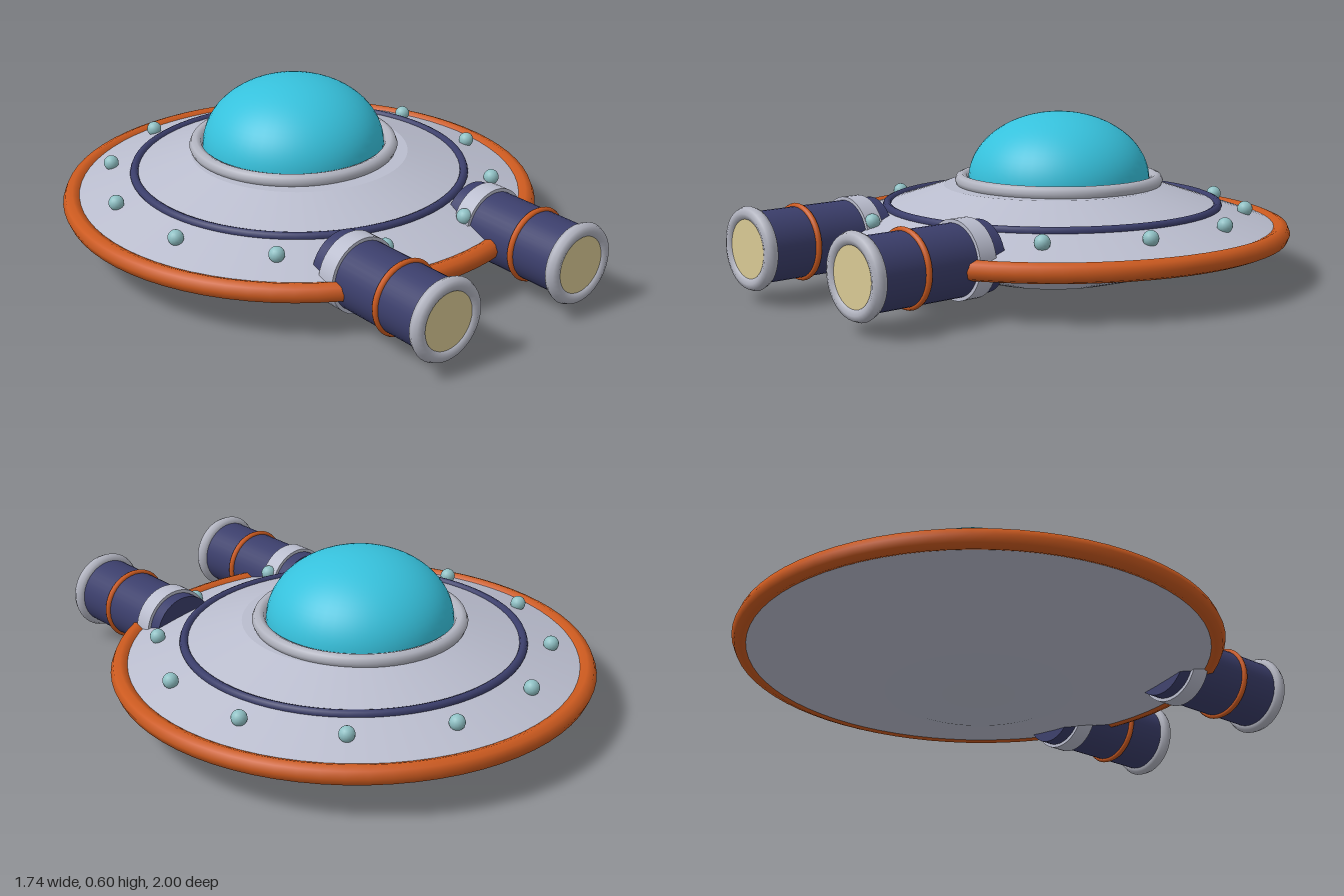
import * as THREE from 'three';

export function createModel() {
  const model = new THREE.Group();
  const mat = (name, color) => {
    const m = new THREE.MeshStandardMaterial({ color });
    m.name = name;
    return m;
  };
  const hullGrey = mat('hull grey', 0xbabdce);
  const trimGrey = mat('trim grey', 0xb2b4c0);
  const orange = mat('orange', 0xcc5a1f);
  const navy = mat('navy', 0x3b3e6b);
  const cyan = mat('dome cyan', 0x36c1dc);
  const paleTeal = mat('stud teal', 0x8fc0c4);
  const cream = mat('lens cream', 0xd9c994);

  const add = (parent, name, geometry, material, x = 0, y = 0, z = 0) => {
    const mesh = new THREE.Mesh(geometry, material);
    mesh.name = name;
    mesh.position.set(x, y, z);
    parent.add(mesh);
    return mesh;
  };
  const flatRing = (R, r, sides = 10) => new THREE.TorusGeometry(R, r, sides, 72).rotateX(Math.PI / 2);
  const lathe = (points) => new THREE.LatheGeometry(points.map(p => new THREE.Vector2(...p)), 72);

  // Saucer, set back so the barrels reach forward
  const saucer = new THREE.Group();
  saucer.name = 'saucer';
  saucer.position.z = -0.127;
  model.add(saucer);
  add(saucer, 'lowerHull', lathe([[0, 0], [0.295, 0], [0.84, 0.15]]), hullGrey);
  add(saucer, 'upperHull', lathe([[0.84, 0.187], [0.4, 0.335]]), hullGrey);
  add(saucer, 'hullDeck', lathe([[0.4, 0.335], [0, 0.335]]), hullGrey);
  add(saucer, 'rim', flatRing(0.837, 0.035, 8), orange, 0, 0.173, 0);
  add(saucer, 'deckBand', flatRing(0.608, 0.016, 8), navy, 0, 0.266, 0);

  // Twelve studs around the deck
  const studGeometry = new THREE.SphereGeometry(0.028, 16, 12);
  for (let i = 0; i < 12; i++) {
    const a = (i + 0.5) * Math.PI / 6;
    add(saucer, 'stud', studGeometry, paleTeal, 0.709 * Math.cos(a), 0.248, 0.709 * Math.sin(a));
  }

  // Cockpit dome and its collar
  const dome = new THREE.SphereGeometry(0.335, 48, 20, 0, Math.PI * 2, 0, Math.PI / 2);
  dome.scale(1, 0.25 / 0.335, 1);
  add(model, 'dome', dome, cyan, 0, 0.35, -0.16);
  add(model, 'domeCollar', flatRing(0.36, 0.025, 8), trimGrey, 0, 0.35, -0.16);

  // Twin front barrels
  const tube = (r, length) => new THREE.CylinderGeometry(r, r, length, 40).rotateX(Math.PI / 2);
  for (const side of [1, -1]) {
    const barrel = new THREE.Group();
    barrel.name = side > 0 ? 'leftBarrel' : 'rightBarrel';
    barrel.position.set(side * 0.305, 0.188, 0);
    model.add(barrel);
    add(barrel, 'barrelBody', tube(0.124, 0.5), navy, 0, 0, 0.72);
    add(barrel, 'barrelClamp', tube(0.136, 0.068), hullGrey, 0, 0, 0.552);
    add(barrel, 'barrelBand', new THREE.TorusGeometry(0.125, 0.011, 8, 40), orange, 0, 0, 0.786);
    add(barrel, 'muzzleRing', new THREE.TorusGeometry(0.121, 0.025, 8, 40), trimGrey, 0, 0, 0.975);
    add(barrel, 'lens', tube(0.108, 0.02), cream, 0, 0, 0.98);
  }
  return model;
}
